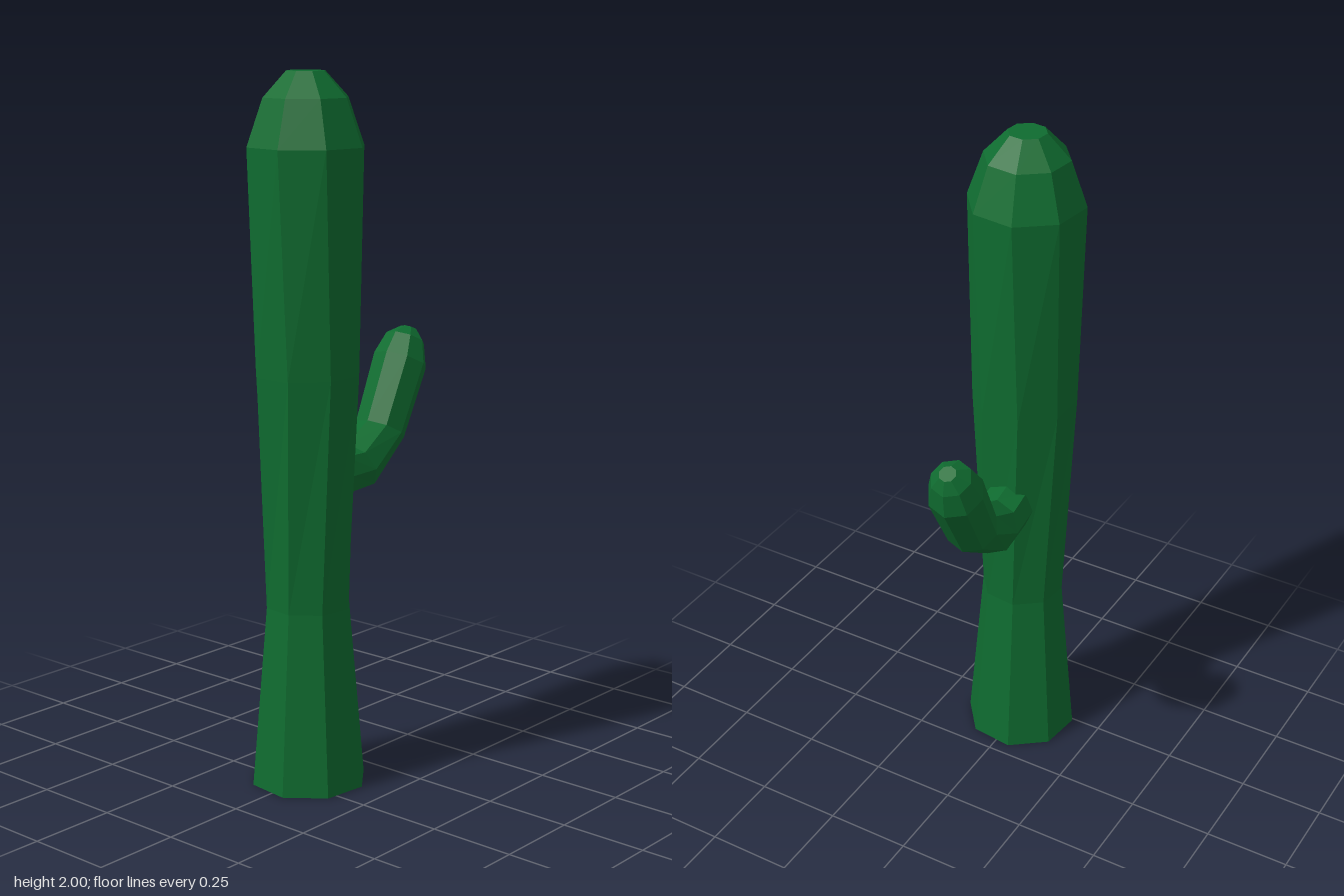
import * as THREE from 'three';

const SIDES = 8;

// Skin a list of rings { c: centre, r: radius, u, v: axes, a: start angle } and close the last one
function loft(rings) {
  const pos = [];
  const point = (ring, k) => {
    const a = ring.a + (k % SIDES) * Math.PI * 2 / SIDES;
    return ring.c.clone()
      .addScaledVector(ring.u, ring.r * Math.cos(a))
      .addScaledVector(ring.v, ring.r * Math.sin(a));
  };
  const tri = (...pts) => pts.forEach(p => pos.push(p.x, p.y, p.z));
  for (let i = 0; i < rings.length - 1; i++) {
    for (let k = 0; k < SIDES; k++) {
      const a = point(rings[i], k), b = point(rings[i], k + 1);
      const c = point(rings[i + 1], k + 1), d = point(rings[i + 1], k);
      tri(a, b, c);
      tri(a, c, d);
    }
  }
  const last = rings[rings.length - 1];
  for (let k = 0; k < SIDES; k++) tri(last.c, point(last, k), point(last, k + 1));
  const geo = new THREE.BufferGeometry();
  geo.setAttribute('position', new THREE.Float32BufferAttribute(pos, 3));
  geo.computeVertexNormals();
  return geo;
}

export function createModel() {
  const group = new THREE.Group();
  group.name = 'cactus';
  const green = new THREE.MeshStandardMaterial({
    color: 0x0f6c30, flatShading: true, side: THREE.DoubleSide,
  });
  green.name = 'cactus green';
  const rad = THREE.MathUtils.degToRad;

  // Trunk: height, radius, turn in degrees; open at the foot
  const trunkRings = [
    [0, 0.167, 15.6], [0.52, 0.122, 15.6], [1.18, 0.151, 22],
    [1.8, 0.167, 15.6], [1.93, 0.121, 15.6], [2, 0.055, 15.6],
  ].map(([y, r, turn]) => ({
    c: new THREE.Vector3(-0.198, y, 0), r, a: rad(turn),
    u: new THREE.Vector3(1, 0, 0), v: new THREE.Vector3(0, 0, -1),
  }));
  const trunk = new THREE.Mesh(loft(trunkRings), green);
  trunk.name = 'trunk';

  // Arm: x, y, radius, tilt of the ring in degrees; drifts slightly backwards
  const yaw = Math.atan(0.11);
  const armRings = [
    [-0.085, 0.875, 0.076, 0], [0.03, 0.874, 0.079, 26], [0.165, 0.957, 0.075, 60],
    [0.27, 1.145, 0.081, 62], [0.297, 1.207, 0.059, 62], [0.317, 1.234, 0.025, 62],
  ].map(([x, y, r, tilt]) => {
    const t = rad(tilt);
    const axis = (h, up) => new THREE.Vector3(h * Math.cos(yaw), up, -h * Math.sin(yaw));
    const dir = axis(Math.cos(t), Math.sin(t));
    const u = axis(-Math.sin(t), Math.cos(t));
    return {
      c: new THREE.Vector3(x, y, -0.018 - 0.11 * (x + 0.05)), r, a: 0,
      u, v: dir.clone().cross(u),
    };
  });
  const arm = new THREE.Mesh(loft(armRings), green);
  arm.name = 'arm';

  group.add(trunk, arm);
  return group;
}
